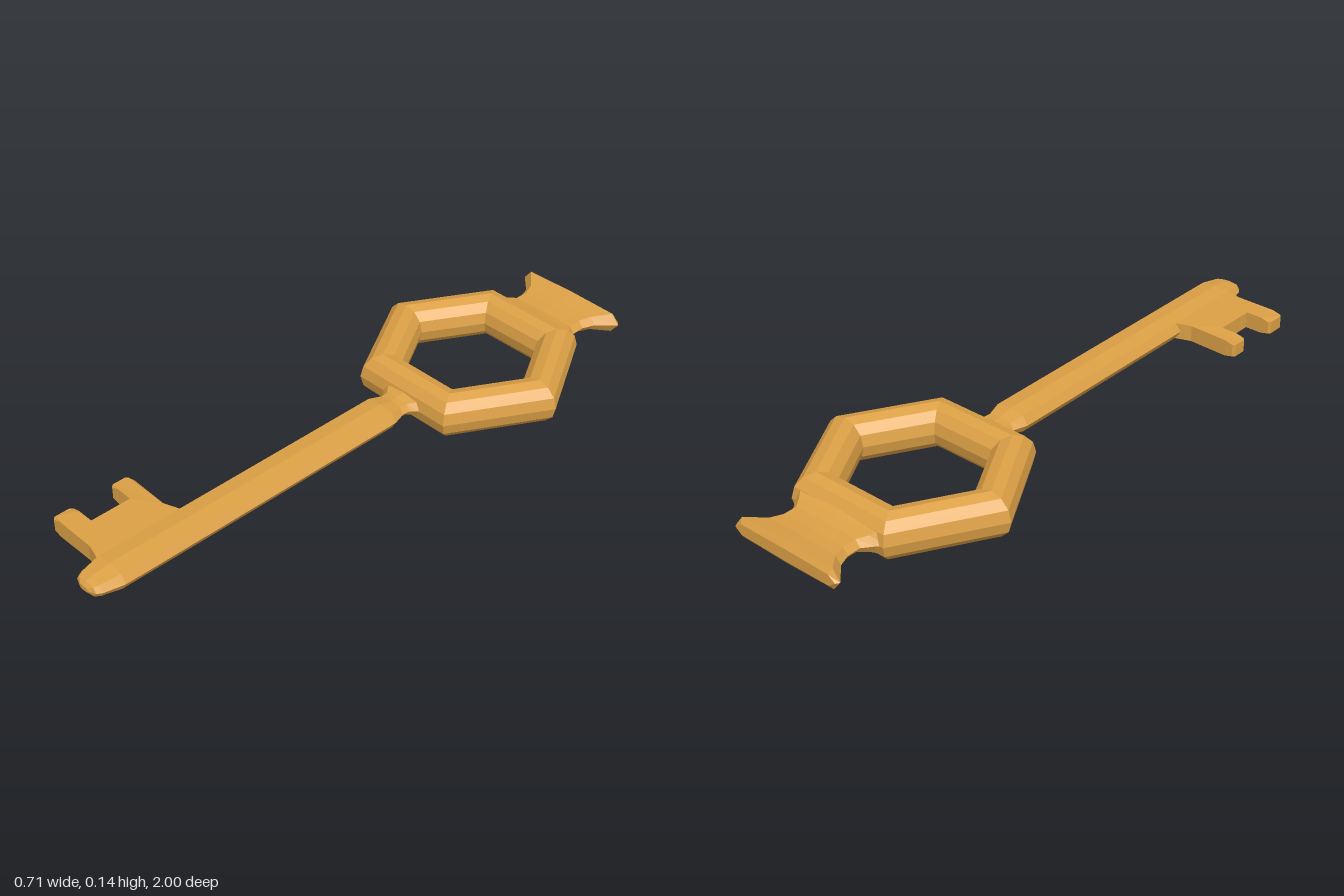
import * as THREE from 'three';

const MID = 0.0715; // height of the key's middle plane
const material = new THREE.MeshStandardMaterial({ color: 0xdca046, flatShading: true });

// Joins a unit cross-section through rows of [z, halfWidth, halfHeight], with closed ends
function loft(section, rows) {
  const n = section.length;
  const pos = [];
  const index = [];
  for (const [z, w, h] of rows) for (const [x, y] of section) pos.push(x * w, y * h, z);
  const first = pos.length / 3;
  pos.push(0, 0, rows[0][0], 0, 0, rows[rows.length - 1][0]);
  const lastRow = (rows.length - 1) * n;
  for (let j = 0; j < n; j++) {
    const k = (j + 1) % n;
    for (let i = 0; i < lastRow; i += n) {
      index.push(i + j, i + k, i + n + k, i + j, i + n + k, i + n + j);
    }
    index.push(first, k, j, first + 1, lastRow + j, lastRow + k);
  }
  const geo = new THREE.BufferGeometry();
  geo.setAttribute('position', new THREE.Float32BufferAttribute(pos, 3));
  geo.setIndex(index);
  const flat = geo.toNonIndexed();
  flat.computeVertexNormals();
  return flat;
}

export function createModel() {
  const key = new THREE.Group();
  key.name = 'key';
  const add = (name, geometry) => {
    const mesh = new THREE.Mesh(geometry, material);
    mesh.name = name;
    mesh.position.y = MID;
    key.add(mesh);
  };

  // Six-sided ring handle
  const ring = new THREE.TorusGeometry(0.2825, 0.0715, 12, 6);
  ring.rotateX(Math.PI / 2).translate(0, 0, -0.505);
  add('ringHandle', ring);

  // Shaft: flattened octagon with a narrow neck at the ring and a rounded tip
  const octagon = [[1, 0], [0.74, 0.82], [0, 1], [-0.74, 0.82], [-1, 0], [-0.74, -0.82], [0, -1], [0.74, -0.82]];
  add('shaft', loft(octagon, [
    [-0.23, 0.09, 0.035], [-0.2, 0.078, 0.029], [-0.18, 0.056, 0.023], [-0.155, 0.053, 0.023],
    [-0.11, 0.067, 0.033], [0.91, 0.067, 0.033], [0.975, 0.052, 0.024], [0.99, 0.042, 0.019], [1, 0.018, 0.008],
  ]));

  // Bit: two teeth with a notch between them, thinning at the tips
  const outline = [
    [-0.03, 0.62], [-0.065, 0.632], [-0.1, 0.645], [-0.235, 0.64], [-0.262, 0.64], [-0.27, 0.648],
    [-0.27, 0.692], [-0.262, 0.7], [-0.235, 0.7], [-0.18, 0.7], [-0.18, 0.835], [-0.235, 0.835],
    [-0.262, 0.835], [-0.27, 0.843], [-0.27, 0.895], [-0.262, 0.903], [-0.235, 0.903],
    [-0.1, 0.903], [-0.065, 0.912], [-0.03, 0.925],
  ];
  const shape = new THREE.Shape(outline.map(([x, z]) => new THREE.Vector2(x, z)));
  const bit = new THREE.ExtrudeGeometry(shape, { depth: 0.054, bevelEnabled: false });
  bit.translate(0, 0, -0.027).rotateX(Math.PI / 2);
  const p = bit.attributes.position;
  for (let i = 0; i < p.count; i++) {
    if (p.getX(i) < -0.25) p.setY(i, p.getY(i) * 0.76);
  }
  bit.computeVertexNormals();
  add('bit', bit);

  // Flared end piece behind the ring
  const wide = [[1, 0], [0.87, 0.9], [0, 1], [-0.87, 0.9], [-1, 0], [-0.87, -0.9], [0, -1], [0.87, -0.9]];
  add('flaredEnd', loft(wide, [
    [-1, 0.192, 0.02], [-0.988, 0.2, 0.037], [-0.935, 0.147, 0.026], [-0.895, 0.131, 0.023],
    [-0.85, 0.131, 0.023], [-0.82, 0.155, 0.03], [-0.795, 0.178, 0.042], [-0.76, 0.17, 0.05],
  ]));

  return key;
}
